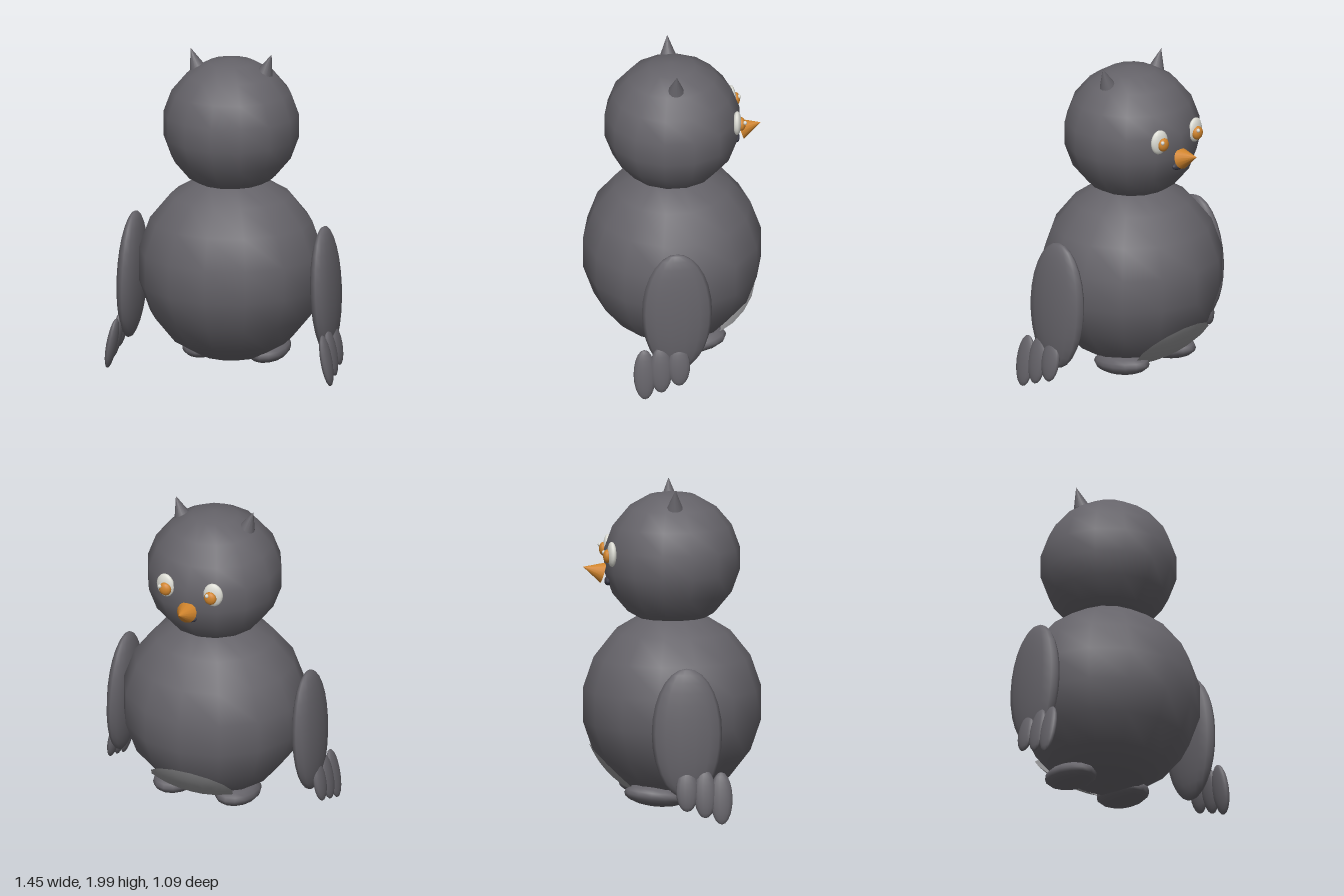
import * as THREE from 'three';

const mat = (name, color, extra = {}) => {
  const m = new THREE.MeshStandardMaterial({ color, ...extra });
  m.name = name;
  return m;
};

export function createModel() {
  const plumage = mat('charcoal plumage', 0x656369);
  const pale = mat('pale belly', 0x959597, { side: THREE.DoubleSide });
  const orange = mat('orange', 0xd0842c);
  const white = mat('eye white', 0xdcdcd4);
  const dark = mat('dark mouth', 0x3c3c48);

  const model = new THREE.Group();
  model.name = 'owl';

  const add = (name, geo, material, pos) => {
    const mesh = new THREE.Mesh(geo, material);
    mesh.name = name;
    mesh.position.set(...pos);
    model.add(mesh);
    return mesh;
  };
  // Ellipsoid whose facets start on the z axis
  const ellipsoid = (name, material, pos, radii, w = 14, h = 10) =>
    add(name, new THREE.SphereGeometry(1, w, h).rotateY(Math.PI / 2).scale(...radii), material, pos);
  // Cone from a base centre to a tip
  const cone = (name, material, base, tip, radius, sides) => {
    const from = new THREE.Vector3(...base);
    const axis = new THREE.Vector3(...tip).sub(from);
    const len = axis.length();
    const mesh = add(name, new THREE.ConeGeometry(radius, len, sides).translate(0, len / 2, 0), material, base);
    mesh.quaternion.setFromUnitVectors(new THREE.Vector3(0, 1, 0), axis.normalize());
    return mesh;
  };

  // Body and head
  ellipsoid('body', plumage, [0, 0.65, 0], [0.573, 0.585, 0.553], 14, 9);
  ellipsoid('head', plumage, [0, 1.54, 0], [0.42, 0.417, 0.42], 14, 9);

  // Pale patch that hugs the lower belly
  const patch = new THREE.SphereGeometry(1, 14, 5, 0, Math.PI * 2, 0, 0.4);
  patch.rotateX(THREE.MathUtils.degToRad(-138)).scale(0.573 * 1.2, 0.588, 0.556);
  add('bellyPatch', patch, pale, [0, 0.65, 0]);

  // Beak and mouth
  cone('beak', orange, [0, 1.46, -0.42], [0, 1.497, -0.543], 0.065, 14);
  ellipsoid('mouth', dark, [0, 1.408, -0.393], [0.055, 0.026, 0.02]);

  for (const s of [1, -1]) {
    const side = s > 0 ? 'left' : 'right';

    // Ear tufts
    cone(side + 'Ear', plumage, [s * 0.215, 1.88, 0], [s * 0.258, 2.0, 0], 0.05, 12);

    // Eyes, with the glint on the same side of both
    const eye = ellipsoid(side + 'EyeWhite', white, [s * 0.158, 1.595, -0.38], [0.062, 0.077, 0.027]);
    eye.rotation.y = s * -0.15;
    ellipsoid(side + 'Iris', orange, [s * 0.15, 1.583, -0.407], [0.04, 0.042, 0.026]);
    ellipsoid(side + 'Glint', white, [s * 0.157 + 0.021, 1.605, -0.427], [0.012, 0.013, 0.012], 8, 6);

    // Wings with three tip feathers each
    const wing = ellipsoid(side + 'Wing', plumage, [s * 0.617, 0.557, 0.04], [0.075, 0.398, 0.215], 14, 14);
    wing.rotation.z = s * 0.04;
    [[0.245, 0.167, 0.16], [0.145, 0.195, 0.148], [0.035, 0.215, 0.128]].forEach(([z, y, ry], i) => {
      const feather = ellipsoid(side + 'Feather' + (i + 1), plumage, [s * 0.683, y, z], [0.03, ry, 0.068]);
      feather.rotation.z = s * 0.18;
    });

    // Feet
    const foot = ellipsoid(side + 'Foot', plumage, [s * 0.205, 0.12, -0.11], [0.13, 0.07, 0.2]);
    foot.rotation.x = 0.1;
  }
  return model;
}
